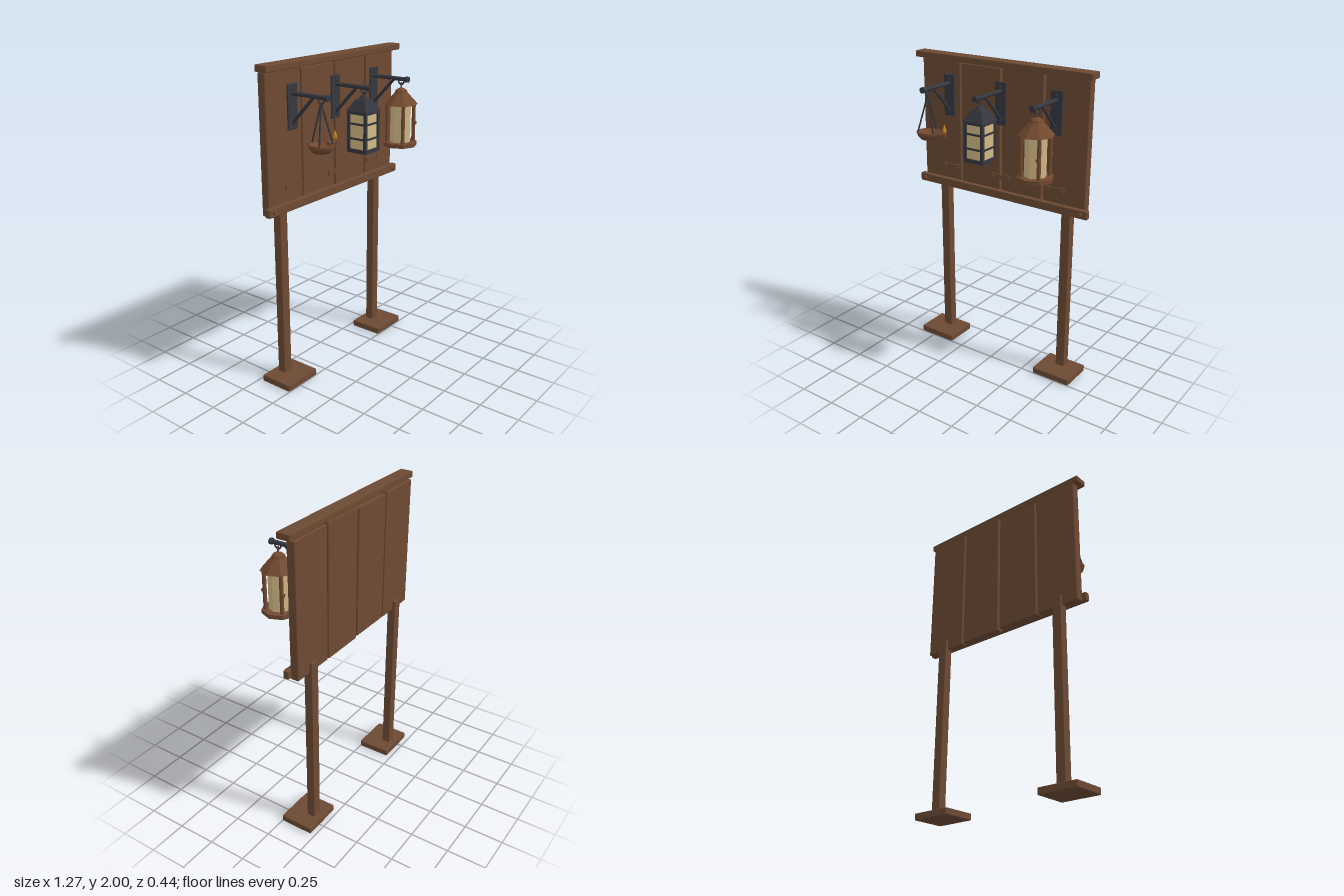
import * as THREE from 'three';
import { RoundedBoxGeometry } from 'three/addons/geometries/RoundedBoxGeometry.js';

const mat = (name, color) => {
  const m = new THREE.MeshStandardMaterial({ color });
  m.name = name;
  return m;
};

export function createModel() {
  const wood = mat('wood', 0x6d4a34);
  const copper = mat('copper', 0x734a31);
  const iron = mat('iron', 0x36383f);
  const glass = mat('glass', 0xd3ba85);
  const flameMat = mat('flame', 0xc98524);
  const root = new THREE.Group();
  root.name = 'lanternDisplayBoard';

  const add = (parent, name, geo, material, x = 0, y = 0, z = 0) => {
    const m = new THREE.Mesh(geo, material);
    m.name = name;
    m.position.set(x, y, z);
    parent.add(m);
    return m;
  };
  const group = (name, x, y, z) => {
    const g = new THREE.Group();
    g.name = name;
    g.position.set(x, y, z);
    root.add(g);
    return g;
  };
  // box given by its limits, with softened edges when r > 0
  const box = (parent, name, material, x0, x1, y0, y1, z0, z1, r = 0) => {
    const s = [x1 - x0, y1 - y0, z1 - z0];
    const geo = r ? new RoundedBoxGeometry(...s, 1, r) : new THREE.BoxGeometry(...s);
    return add(parent, name, geo, material, (x0 + x1) / 2, (y0 + y1) / 2, (z0 + z1) / 2);
  };
  // round bar between two points
  const rod = (parent, name, material, a, b, r, sides = 10) => {
    const p = new THREE.Vector3(...a), q = new THREE.Vector3(...b);
    const dir = q.clone().sub(p);
    const m = add(parent, name, new THREE.CylinderGeometry(r, r, dir.length(), sides), material);
    m.position.copy(p).add(q).multiplyScalar(0.5);
    m.quaternion.setFromUnitVectors(new THREE.Vector3(0, 1, 0), dir.normalize());
    return m;
  };
  const flat = (geo) => {
    const g = geo.index ? geo.toNonIndexed() : geo;
    g.computeVertexNormals();
    return g;
  };
  const lathe = (pts, sides) => new THREE.LatheGeometry(pts.map((p) => new THREE.Vector2(...p)), sides);

  // planks
  [[-0.607, -0.313, 1.955, 1.123], [-0.303, -0.008, 1.95, 1.125],
    [0.005, 0.3, 1.96, 1.117], [0.312, 0.605, 1.955, 1.118]].forEach(([x0, x1, top, bottom]) =>
    box(root, 'plank', wood, x0, x1, bottom, top, -0.162, -0.108, 0.006));

  // rails
  box(root, 'topRail', wood, -0.635, 0.635, 1.96, 2, -0.155, -0.068, 0.006);
  box(root, 'bottomRail', wood, -0.635, 0.635, 1.128, 1.182, -0.115, -0.079, 0.006);

  // legs, feet and rail bolts
  for (const s of [-1, 1]) {
    box(root, 'post', wood, s * 0.468 - 0.031, s * 0.468 + 0.031, 0.03, 1.185, -0.18, -0.125, 0.004);
    box(root, 'foot', wood, s * 0.47 - 0.132, s * 0.47 + 0.132, 0, 0.043, -0.22, 0, 0.006);
    rod(root, 'railBolt', copper, [s * 0.593, 1.155, -0.085], [s * 0.593, 1.155, -0.066], 0.013, 12);
  }

  // wall brackets and label holders
  for (const x of [-0.393, 0, 0.393]) {
    const b = group('wallBracket', x, 0, 0);
    box(b, 'bracketPlate', iron, -0.04, 0.04, 1.605, 1.87, -0.11, -0.097, 0.003);
    rod(b, 'bracketArm', iron, [0, 1.815, -0.1], [0, 1.815, 0.155], 0.013, 12);
    rod(b, 'armCap', iron, [0, 1.815, 0.148], [0, 1.815, 0.165], 0.019, 12);
    rod(b, 'brace', iron, [0, 1.81, 0.058], [0, 1.645, -0.1], 0.01);
    for (const y of [1.635, 1.84]) add(b, 'plateBolt', new THREE.SphereGeometry(0.01, 10, 6), iron, 0, y, -0.097);
    const ring = add(b, 'hangingRing', new THREE.TorusGeometry(0.02, 0.005, 8, 20), iron, 0, 1.8, 0.113);
    ring.rotation.y = Math.PI / 2;

    const h = group('labelHolder', x, 1.267, -0.108);
    box(h, 'strap', wood, -0.07, 0.07, -0.013, 0.013, -0.002, 0.006);
    for (const s of [-1, 1]) {
      box(h, 'strapEnd', wood, s * 0.055 - 0.016, s * 0.055 + 0.016, -0.018, 0.018, -0.002, 0.009);
      rod(h, 'strapBolt', copper, [s * 0.055, 0, 0], [s * 0.055, 0, 0.014], 0.007);
    }
  }

  // hanging oil lamp
  const lamp = group('oilLamp', -0.393, 0, 0.11);
  add(lamp, 'bowl', lathe([[0, 1.5], [0.05, 1.503], [0.07, 1.525], [0.078, 1.55],
    [0.066, 1.55], [0.058, 1.53], [0.04, 1.518], [0, 1.516]], 24), copper);
  rod(lamp, 'spout', copper, [0.06, 1.538, 0], [0.128, 1.542, 0], 0.014);
  add(lamp, 'wickCup', new THREE.CylinderGeometry(0.015, 0.012, 0.022, 12), copper, 0.122, 1.545, 0);
  add(lamp, 'flame', lathe([[0, 1.55], [0.012, 1.562], [0.013, 1.573], [0.007, 1.592], [0, 1.613]], 10), flameMat, 0.122);
  for (let i = 0; i < 3; i++) {
    const a = Math.PI / 6 + (i * Math.PI * 2) / 3;
    rod(lamp, 'chain', iron, [Math.cos(a) * 0.07, 1.545, Math.sin(a) * 0.07], [0, 1.785, 0], 0.005, 6);
  }

  // square iron lantern
  const sq = group('squareLantern', 0, 0, 0.11);
  const roof = new THREE.CylinderGeometry(0.034 * Math.SQRT2, 0.073 * Math.SQRT2, 0.066, 4);
  add(sq, 'squareRoof', flat(roof), iron, 0, 1.714, 0).rotation.y = Math.PI / 4;
  add(sq, 'roofKnob', new THREE.CylinderGeometry(0.014, 0.03, 0.025, 12), iron, 0, 1.759, 0);
  rod(sq, 'hanger', iron, [0, 1.76, 0], [0, 1.79, 0], 0.005);
  box(sq, 'base', iron, -0.07, 0.07, 1.43, 1.453, -0.07, 0.07);
  box(sq, 'topFrame', iron, -0.07, 0.07, 1.663, 1.685, -0.07, 0.07);
  box(sq, 'glassBox', glass, -0.06, 0.06, 1.45, 1.67, -0.06, 0.06);
  for (const sx of [-1, 1]) for (const sz of [-1, 1])
    box(sq, 'cornerPost', iron, sx * 0.061 - 0.009, sx * 0.061 + 0.009, 1.44, 1.68, sz * 0.061 - 0.009, sz * 0.061 + 0.009);
  for (const y of [1.515, 1.605]) box(sq, 'crossBar', iron, -0.065, 0.065, y - 0.006, y + 0.006, -0.065, 0.065);

  // eight-sided copper lantern
  const oct = group('octagonLantern', 0.393, 0, 0.113);
  add(oct, 'octagonRoof', flat(lathe([[0, 1.66], [0.109, 1.657], [0.042, 1.73], [0.036, 1.745],
    [0.018, 1.757], [0, 1.76]], 8)), copper);
  rod(oct, 'hanger', copper, [0, 1.75, 0], [0, 1.795, 0], 0.006);
  add(oct, 'octagonBase', flat(new THREE.CylinderGeometry(0.109, 0.109, 0.026, 8)), copper, 0, 1.403, 0);
  add(oct, 'glassBody', flat(new THREE.CylinderGeometry(0.066, 0.066, 0.25, 8)), glass, 0, 1.538, 0);
  for (let i = 0; i < 4; i++) {
    const a = Math.PI / 4 + (i * Math.PI) / 2;
    const x = Math.cos(a) * 0.085, z = Math.sin(a) * 0.085;
    rod(oct, 'framePost', copper, [x, 1.41, z], [x, 1.665, z], 0.012, 8);
  }
  for (const s of [-1, 1]) rod(oct, 'sideKnob', copper, [0.06, 1.535, s * 0.06], [0.06, 1.535, s * 0.077], 0.012);

  return root;
}
